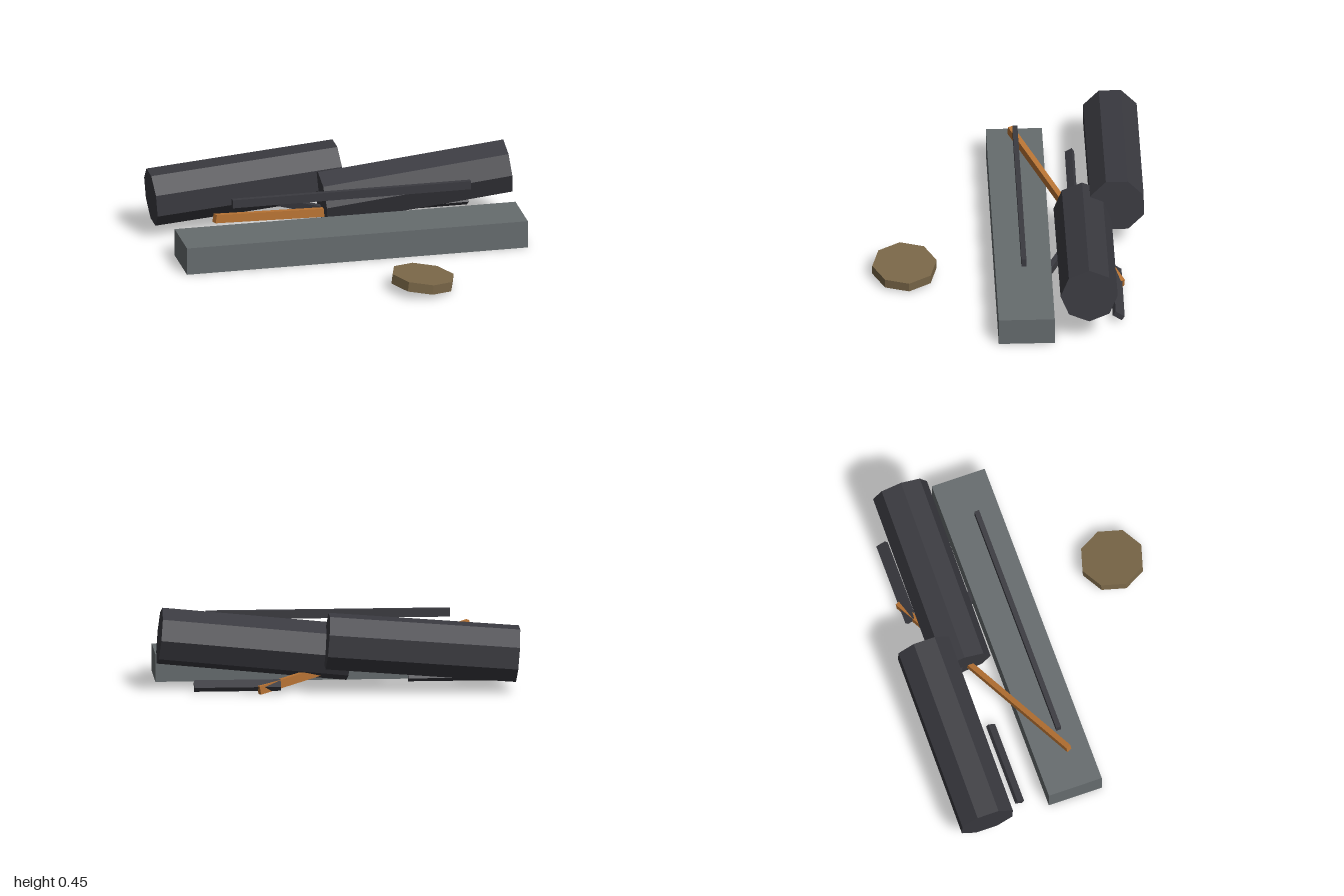
import * as THREE from 'three';

const mat = (name, color) => {
  const m = new THREE.MeshStandardMaterial({ color });
  m.name = name;
  return m;
};

export function createModel() {
  const model = new THREE.Group();
  const stone = mat('stone grey', 0x666c6e);
  const charcoal = mat('charcoal', 0x3a3a40);
  const copper = mat('copper', 0xb87333);
  const tan = mat('dull tan', 0x7a6748);

  function add(name, geometry, material, position, rotation = [0, 0, 0]) {
    const mesh = new THREE.Mesh(geometry, material);
    mesh.name = name;
    mesh.position.set(...position);
    mesh.rotation.set(...rotation);
    model.add(mesh);
    return mesh;
  }

  // Eight-sided prism with flat facets
  function octagon(radius, height, turn) {
    return new THREE.CylinderGeometry(radius, radius, height, 8).toNonIndexed().rotateY(turn);
  }
  function facet(geometry) {
    geometry.computeVertexNormals();
    return geometry;
  }

  // Square-cut bar between two points
  function bar(name, from, to, material, width = 0.03, height = 0.045) {
    const a = new THREE.Vector3(...from);
    const b = new THREE.Vector3(...to);
    const mid = a.clone().add(b).multiplyScalar(0.5);
    const mesh = add(name, new THREE.BoxGeometry(width, height, a.distanceTo(b)), material, mid.toArray());
    mesh.lookAt(b);
  }

  // Long base block
  add('baseBlock', new THREE.BoxGeometry(1.93, 0.155, 0.31), stone, [0.025, 0.0775, -0.075]);

  // Two tilted logs, one with an edge on top and one with a flat on top
  add('frontLog', facet(octagon(0.158, 1.055, 0).rotateZ(Math.PI / 2)), charcoal,
    [0.455, 0.245, -0.42], [0, 0, 0.1]);
  add('backLog', facet(octagon(0.16, 1.057, Math.PI / 8).rotateZ(Math.PI / 2)), charcoal,
    [-0.462, 0.25, -0.608], [0, 0, 0.08]);

  // Straight rail above the block
  add('rail', new THREE.BoxGeometry(1.35, 0.047, 0.028), charcoal, [0.025, 0.341, -0.07]);

  // Crossing diagonal bars
  bar('copperRod', [-0.755, 0.27, -0.047], [0.442, 0.023, -0.622], copper, 0.03, 0.047);
  bar('crossBar', [-0.28, 0.145, -0.55], [0.4, 0.068, -0.205], charcoal, 0.032, 0.045);

  // Loose slats lying at a slant
  add('backSlat', new THREE.BoxGeometry(0.48, 0.03, 0.06), charcoal, [0.56, 0.045, -0.59], [-0.6, 0, 0]);
  add('frontSlat', new THREE.BoxGeometry(0.48, 0.026, 0.045), charcoal, [-0.64, 0.035, -0.38], [0.55, 0, 0]);

  // Tilted eight-sided disc
  add('disc', facet(octagon(0.18, 0.055, 0.11)), tan, [0.282, 0.058, 0.575], [0, 0, -0.12]);

  return model;
}
